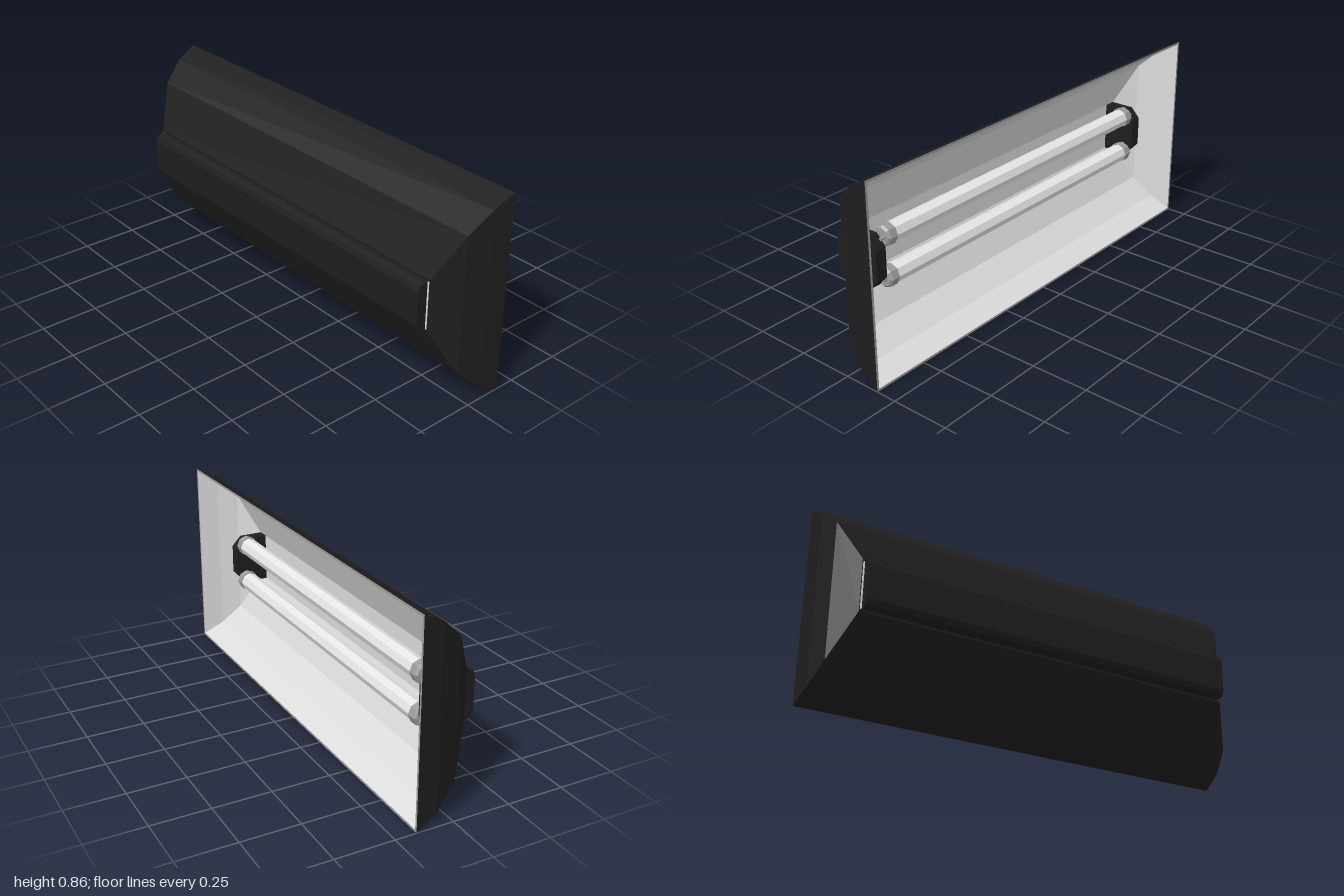
import * as THREE from 'three';

const CY = 0.43; // mid height of the lamp

const material = (name, color) => {
  const m = new THREE.MeshStandardMaterial({ color, flatShading: true });
  m.name = name;
  return m;
};

// Rectangular rings [x, half height, half length] joined by flat panels
function ringShell(rings, { inward = false, cap = false } = {}) {
  const signs = [[1, 1], [1, -1], [-1, -1], [-1, 1]];
  const corner = ([x, h, l], k) => [x, CY + signs[k % 4][0] * h, signs[k % 4][1] * l];
  const pos = [];
  const quad = (a, b, c, d) => {
    const q = inward ? [a, c, b, a, d, c] : [a, b, c, a, c, d];
    q.forEach((p) => pos.push(...p));
  };
  for (let i = 0; i < rings.length - 1; i++) {
    for (let k = 0; k < 4; k++) {
      quad(corner(rings[i], k), corner(rings[i], k + 1), corner(rings[i + 1], k + 1), corner(rings[i + 1], k));
    }
  }
  if (cap) quad(...[0, 1, 2, 3].map((k) => corner(rings[rings.length - 1], k)));
  const g = new THREE.BufferGeometry();
  g.setAttribute('position', new THREE.Float32BufferAttribute(pos, 3));
  g.computeVertexNormals();
  return g;
}

// Outline in x and y (about mid height), extruded along z
function prism(points, length) {
  const shape = new THREE.Shape(points.map(([x, y]) => new THREE.Vector2(x, y)));
  return new THREE.ExtrudeGeometry(shape, { depth: length, bevelEnabled: false }).translate(0, CY, -length / 2);
}

export function createModel() {
  const model = new THREE.Group();
  model.name = 'twinTubeLamp';
  const black = material('blackCasing', 0x1e1e1e);
  const reflectorGrey = material('paleReflector', 0xdcdcdc);
  const glass = material('whiteTube', 0xe6e6e6);
  const metal = material('greyMetal', 0x9c9c9c);

  const add = (name, geometry, mat, x = 0, y = 0, z = 0) => {
    const mesh = new THREE.Mesh(geometry, mat);
    mesh.name = name;
    mesh.position.set(x, y, z);
    model.add(mesh);
    return mesh;
  };

  // Trough shade: dark outside, pale inside, thin rim between
  const outer = [[0.16, 0.43, 1], [0.068, 0.383, 0.986], [-0.024, 0.298, 0.956], [-0.115, 0.113, 0.872]];
  const inner = [[0.16, 0.42, 0.99], [0.068, 0.372, 0.976], [-0.02, 0.289, 0.946], [-0.105, 0.108, 0.866]];
  add('shade', ringShell(outer, { cap: true }), black);
  add('reflector', ringShell(inner, { inward: true, cap: true }), reflectorGrey);
  add('rim', ringShell([inner[0], outer[0]]), metal);

  // Wiring housing along the back
  add('backHousing', prism([
    [-0.114, 0.103], [-0.132, 0.103], [-0.153, 0.094], [-0.162, 0.072],
    [-0.162, -0.072], [-0.153, -0.094], [-0.132, -0.103], [-0.114, -0.103],
  ], 1.724), black);

  // Chamfered socket block and pale housing seam at each end
  const socket = prism([
    [-0.105, -0.11], [0.005, -0.11], [0.047, -0.065],
    [0.047, 0.065], [0.005, 0.11], [-0.105, 0.11],
  ], 0.052);
  for (const s of [1, -1]) {
    add('socket', socket, black, 0, 0, s * 0.839);
    add('housingSeam', new THREE.BoxGeometry(0.002, 0.206, 0.007), reflectorGrey, -0.1155, CY, s * 0.8655);
  }

  // Two eight-sided tubes with metal end caps and contact pins
  const tube = new THREE.CylinderGeometry(0.041, 0.041, 1.53, 8, 1, true).rotateX(Math.PI / 2);
  const cap = new THREE.LatheGeometry([
    [0.04, -0.022], [0.045, -0.022], [0.045, 0.012], [0.036, 0.022], [0, 0.022],
  ].map(([r, y]) => new THREE.Vector2(r, y)), 8).rotateX(Math.PI / 2);
  const pin = new THREE.CylinderGeometry(0.008, 0.008, 0.03, 6).rotateX(Math.PI / 2);
  for (const y of [CY - 0.086, CY + 0.09]) {
    add('tube', tube, glass, 0.011, y, 0);
    for (const s of [1, -1]) {
      add('tubeCap', cap, metal, 0.011, y, s * 0.777).rotation.y = s > 0 ? 0 : Math.PI;
      for (const dx of [-0.016, 0.016]) add('contactPin', pin, metal, 0.011 + dx, y, s * 0.806);
    }
  }
  return model;
}
